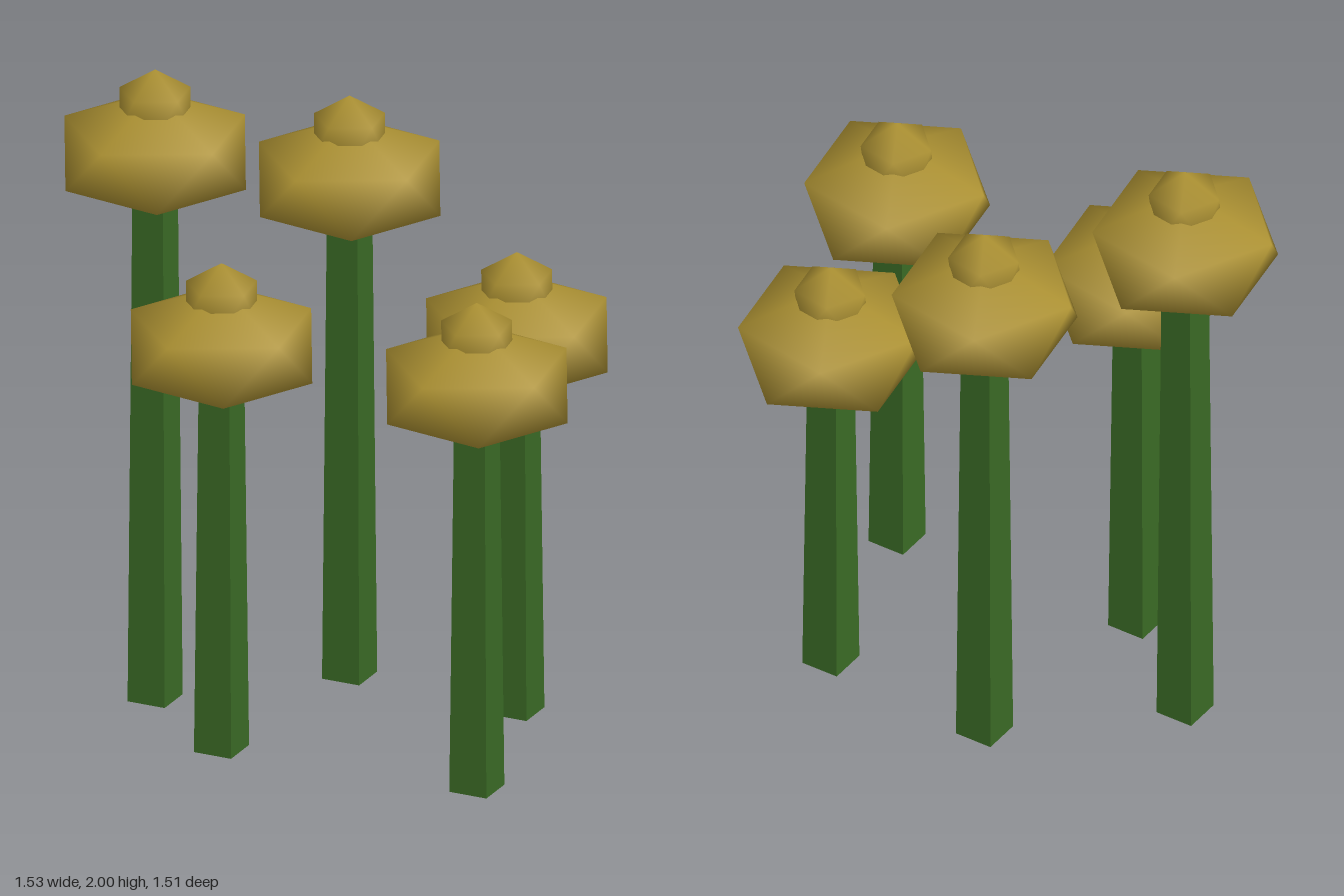
import * as THREE from 'three';

// Smooth-shaded 20-sided ball with a vertex at each pole
function ballGeometry(rx, ry) {
  const pos = [0, ry, 0];
  for (const [level, turn] of [[0.447, 0], [-0.447, Math.PI / 5]]) {
    for (let k = 0; k < 5; k++) {
      const a = (k * 2 * Math.PI) / 5 + turn;
      pos.push(0.894 * rx * Math.cos(a), level * ry, 0.894 * rx * Math.sin(a));
    }
  }
  pos.push(0, -ry, 0);
  const index = [];
  for (let k = 0; k < 5; k++) {
    const n = (k + 1) % 5;
    const u0 = 1 + k, u1 = 1 + n, l0 = 6 + k, l1 = 6 + n;
    index.push(0, u1, u0, u0, u1, l0, u1, l1, l0, 11, l0, l1);
  }
  const g = new THREE.BufferGeometry();
  g.setAttribute('position', new THREE.Float32BufferAttribute(pos, 3));
  g.setIndex(index);
  g.computeVertexNormals();
  return g;
}

export function createModel() {
  const gold = new THREE.MeshStandardMaterial({ color: 0xad9233 });
  gold.name = 'gold';
  const green = new THREE.MeshStandardMaterial({ color: 0x3a6a25, flatShading: true });
  green.name = 'stem green';

  const headGeometry = ballGeometry(0.313, 0.19);
  const budGeometry = ballGeometry(0.123, 0.125);
  const model = new THREE.Group();
  model.name = 'flowerCluster';

  // x, z and height of each flower
  const flowers = [
    [-0.49, -0.49, 2.0],
    [0.11, -0.47, 1.845],
    [-0.435, -0.05, 1.545],
    [0.485, -0.045, 1.46],
    [0.175, 0.49, 1.545],
  ];
  for (const [x, z, top] of flowers) {
    const flower = new THREE.Group();
    flower.name = 'flower';
    flower.position.set(x, 0, z);

    // Tapered four-sided stem, ending inside the head
    const h = top - 0.265;
    const stem = new THREE.Mesh(new THREE.CylinderGeometry(0.07, 0.086, h, 4), green);
    stem.name = 'stem';
    stem.position.y = h / 2;

    const head = new THREE.Mesh(headGeometry, gold);
    head.name = 'head';
    head.position.y = h;

    const bud = new THREE.Mesh(budGeometry, gold);
    bud.name = 'bud';
    bud.position.y = top - 0.125;

    flower.add(stem, head, bud);
    model.add(flower);
  }
  return model;
}
